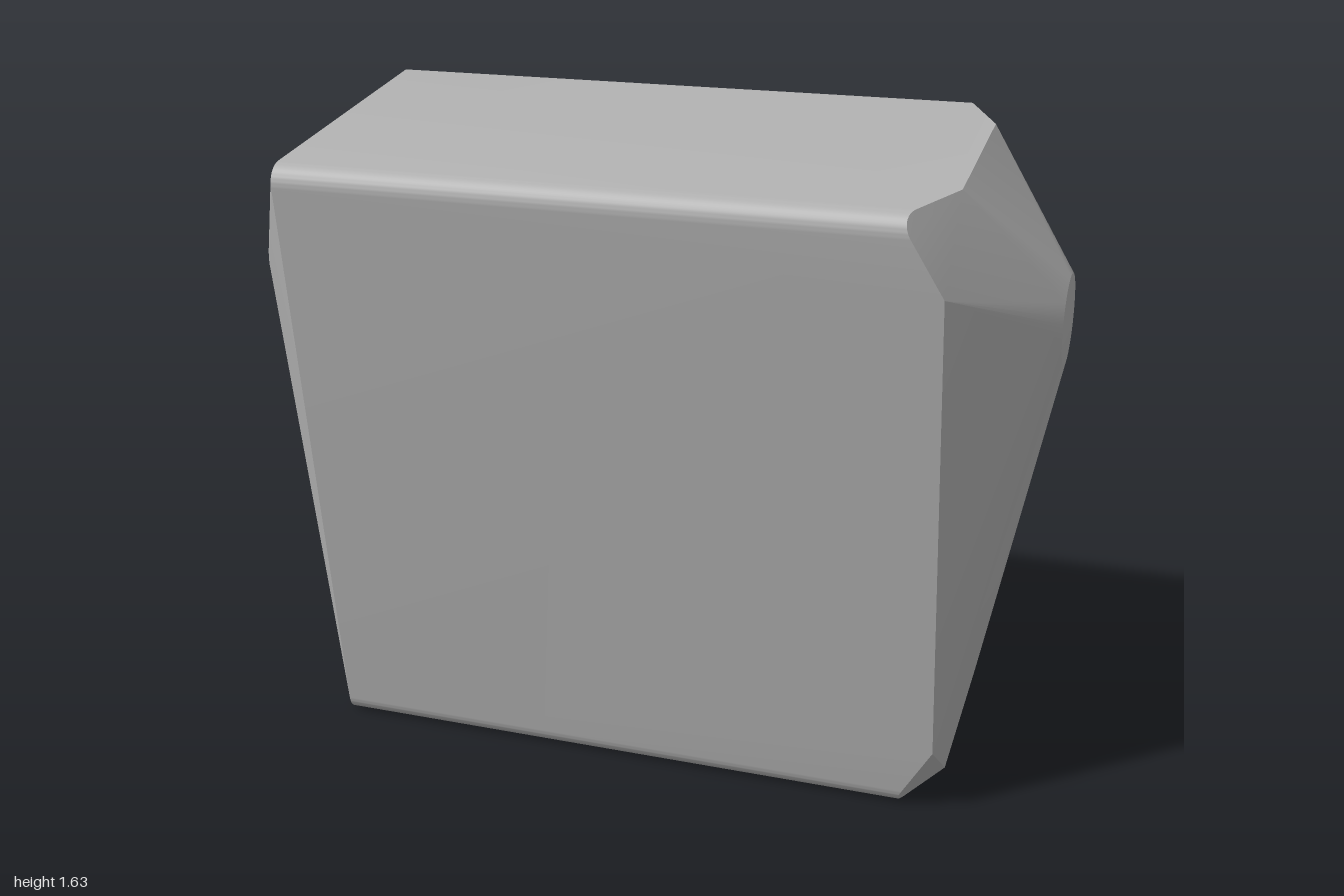
import * as THREE from 'three';
import { ConvexGeometry } from 'three/addons/geometries/ConvexGeometry.js';
import { toCreasedNormals } from 'three/addons/utils/BufferGeometryUtils.js';

const HALF_W = 0.3915, HALF_H = 0.775; // cross-section half sizes (z, y)
const ROUND = 0.05;                    // radius of the long edges
const SHOULDER = 0.785;                // x where the tapered ends begin
const CUT = 0.18;                      // corner cut on the left end
const CUT_SLOPE = 0.8;
const TILT = 0.148;

export function createModel() {
  const group = new THREE.Group();
  group.name = 'taperedBlock';
  const grey = new THREE.MeshStandardMaterial({ color: 0xb0b0b0 });
  grey.name = 'grey';

  const points = [];
  const add = (x, y, z) => points.push(new THREE.Vector3(x, y, z));

  // Rounded long edges, stopped short by a slanted corner cut on the left end
  const steps = 14;
  for (const sy of [-1, 1]) for (const sz of [-1, 1]) {
    for (let i = 0; i <= steps; i++) {
      const a = (i / steps) * Math.PI / 2;
      const y = HALF_H - ROUND + ROUND * Math.sin(a);
      const z = HALF_W - ROUND + ROUND * Math.cos(a);
      const depth = (HALF_H - y + HALF_W - z) / Math.SQRT2;
      add(-SHOULDER, sy * y, sz * z);
      add(SHOULDER - (CUT / Math.SQRT2 - depth) * CUT_SLOPE, sy * y, sz * z);
    }
    add(SHOULDER, sy * (HALF_H - CUT), sz * HALF_W);
    add(SHOULDER, sy * HALF_H, sz * (HALF_W - CUT));
  }

  // Small round flats that both ends taper to
  const sides = 40;
  for (let i = 0; i < sides; i++) {
    const a = (i / sides) * Math.PI * 2;
    for (const x of [-1, 1]) add(x, 0.395 + 0.107 * Math.sin(a), 0.107 * Math.cos(a));
  }

  // Skin stretched over the sections, leaning forward
  const block = new THREE.Mesh(toCreasedNormals(new ConvexGeometry(points), 0.25), grey);
  block.name = 'block';
  block.rotation.x = TILT;
  block.position.y = 0.82;
  group.add(block);
  return group;
}
